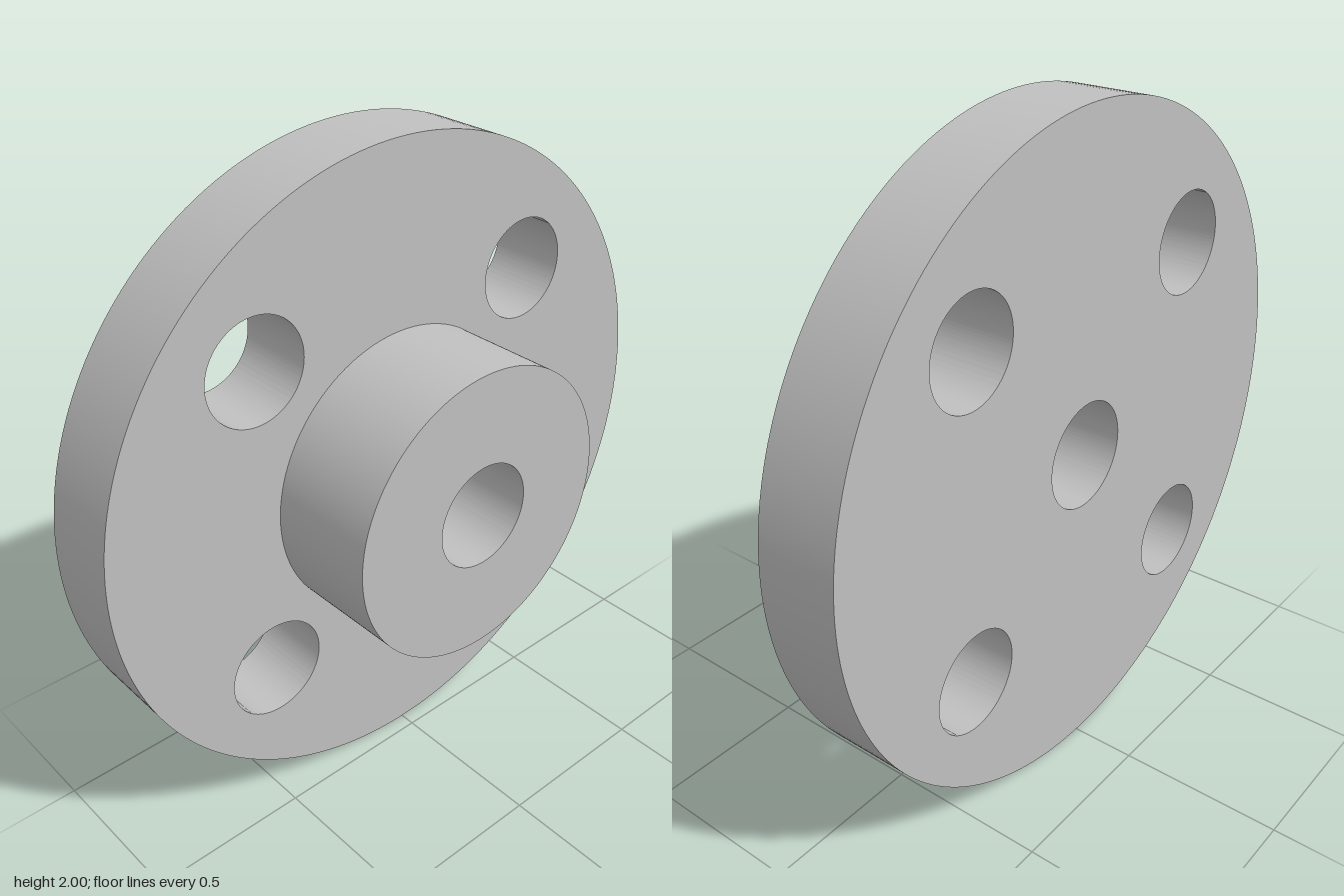
import * as THREE from 'three';
import { toCreasedNormals } from 'three/addons/utils/BufferGeometryUtils.js';

const BORE_RADIUS = 0.162;

// Round plate along z, pierced by circular holes given as [x, y, radius]
function piercedDisc(name, radius, zBack, zFront, holes, material) {
  const shape = new THREE.Shape().absarc(0, 0, radius, 0, Math.PI * 2, false);
  for (const [x, y, r] of holes) {
    shape.holes.push(new THREE.Path().absarc(x, y, r, 0, Math.PI * 2, true));
  }
  const geometry = new THREE.ExtrudeGeometry(shape, {
    depth: zFront - zBack,
    bevelEnabled: false,
    curveSegments: 96,
  });
  const mesh = new THREE.Mesh(toCreasedNormals(geometry, Math.PI / 6), material);
  mesh.name = name;
  mesh.position.set(0, 1, zBack);
  return mesh;
}

export function createModel() {
  const group = new THREE.Group();
  group.name = 'hubFlange';

  const steel = new THREE.MeshStandardMaterial({ color: 0xc0c0c0 });
  steel.name = 'steel grey';

  const bore = [0, 0, BORE_RADIUS];

  // Four bolt holes at the diagonals of the bolt circle
  const boltHoles = [];
  for (let i = 0; i < 4; i++) {
    const angle = Math.PI / 4 + (i * Math.PI) / 2;
    boltHoles.push([0.7 * Math.cos(angle), 0.7 * Math.sin(angle), 0.157]);
  }

  // Wide flange at the back, narrow hub in front, one bore through both
  group.add(piercedDisc('flange', 1, -0.3, -0.05, [bore, ...boltHoles], steel));
  group.add(piercedDisc('hub', 0.45, -0.05, 0.3, [bore], steel));

  return group;
}
